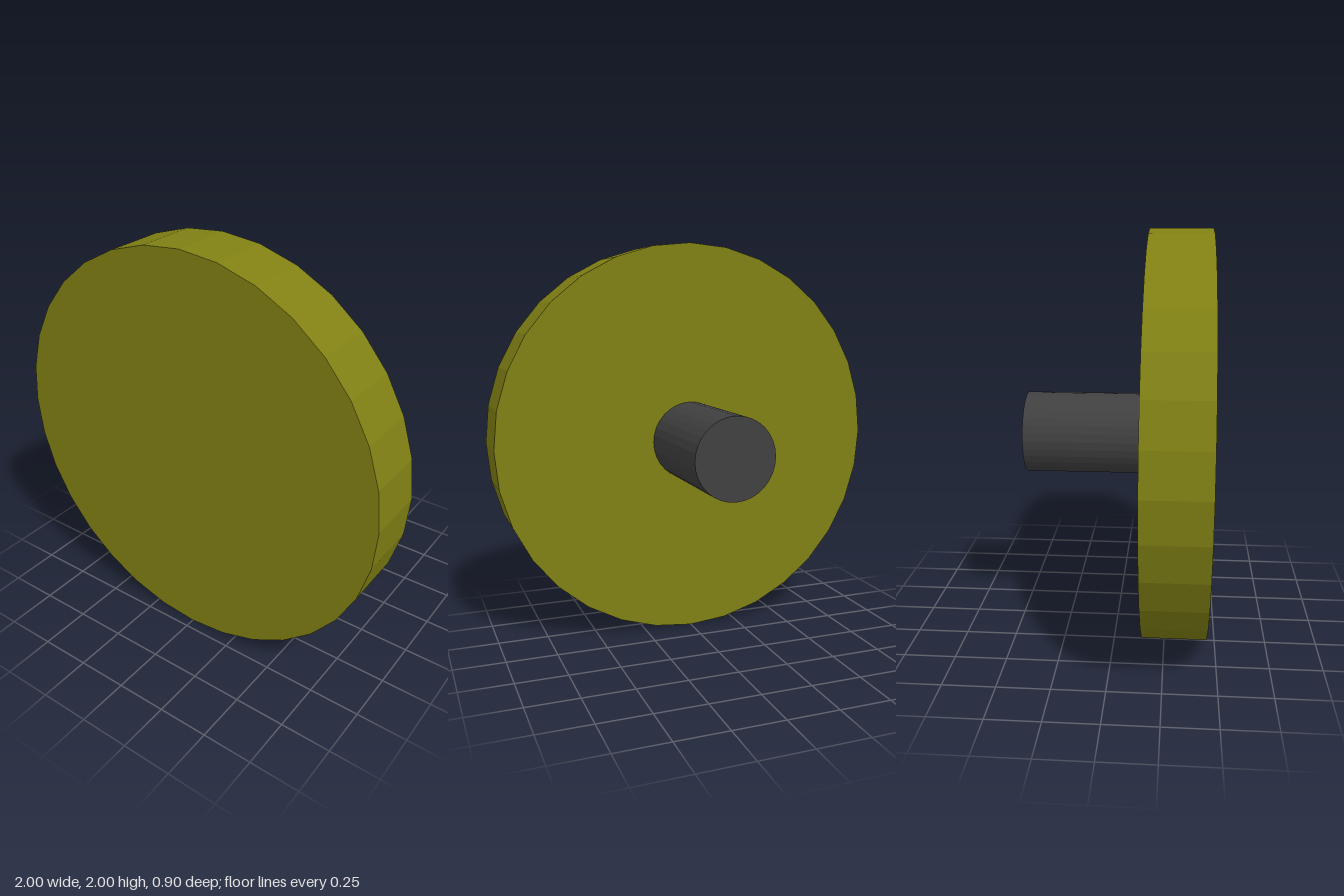
import * as THREE from 'three';

// Faceted cylinder lying along z, between two depths, centred at y = 1
function roundPart(name, radius, zBack, zFront, color) {
  const length = zFront - zBack;
  const geometry = new THREE.CylinderGeometry(radius, radius, length, 32);
  geometry.rotateX(Math.PI / 2);
  const material = new THREE.MeshStandardMaterial({ color, flatShading: true });
  const mesh = new THREE.Mesh(geometry, material);
  mesh.name = name;
  mesh.position.set(0, 1, (zBack + zFront) / 2);
  return mesh;
}

export function createModel() {
  const model = new THREE.Group();
  model.name = 'discOnShaft';
  // Wide disc at the front
  model.add(roundPart('disc', 1, 0.15, 0.45, 0x808014));
  // Shaft running back from the disc's centre
  model.add(roundPart('shaft', 0.2, -0.45, 0.15, 0x404040));
  return model;
}
